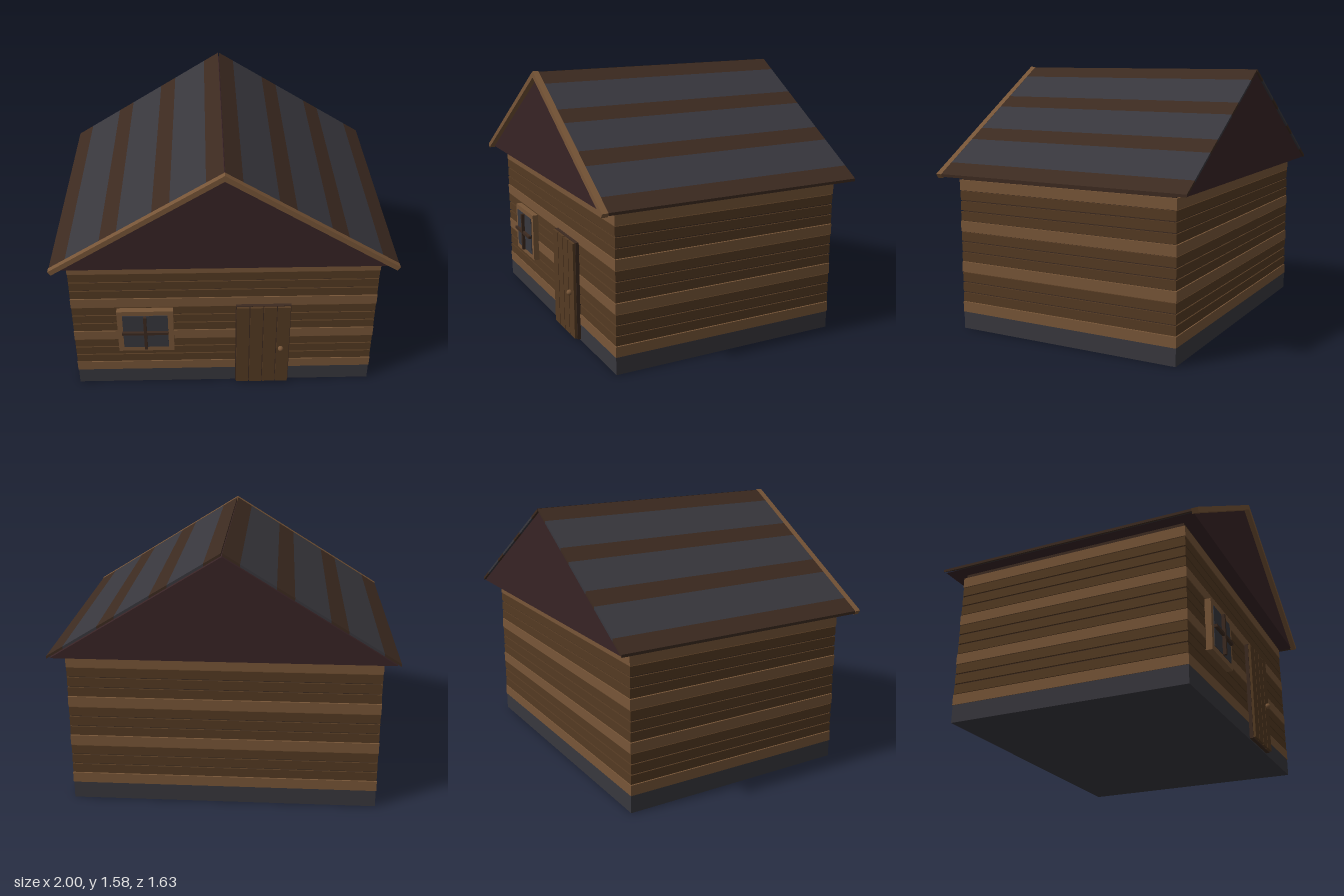
import * as THREE from 'three';

const mat = (name, color) => {
  const m = new THREE.MeshStandardMaterial({ color });
  m.name = name;
  return m;
};

export function createModel() {
  const lightWood = mat('light wood', 0x775537);
  const darkWood = mat('dark wood', 0x543a22);
  const deepBrown = mat('deep brown', 0x3c2a20);
  const slate = mat('slate', 0x38373d);
  const maroon = mat('maroon', 0x382325);

  const house = new THREE.Group();
  house.name = 'cabin';

  const add = (name, geometry, material, parent = house) => {
    const mesh = new THREE.Mesh(geometry, material);
    mesh.name = name;
    parent.add(mesh);
    return mesh;
  };
  // Box given by its lower and upper limits on each axis
  const box = (name, x0, x1, y0, y1, z0, z1, material, parent) => {
    const g = new THREE.BoxGeometry(x1 - x0, y1 - y0, z1 - z0);
    g.translate((x0 + x1) / 2, (y0 + y1) / 2, (z0 + z1) / 2);
    return add(name, g, material, parent);
  };
  // Outline in x and y, extruded from z0 to z1
  const prism = (name, points, z0, z1, material, parent) => {
    const shape = new THREE.Shape(points.map(([x, y]) => new THREE.Vector2(x, y)));
    const g = new THREE.ExtrudeGeometry(shape, { depth: z1 - z0, bevelEnabled: false });
    g.translate(0, 0, z0);
    return add(name, g, material, parent);
  };
  const group = (name) => {
    const g = new THREE.Group();
    g.name = name;
    house.add(g);
    return g;
  };

  // Stone base and the dark wall core that shows in the grooves
  box('foundation', -0.912, 0.912, 0, 0.105, -0.723, 0.709, slate);
  box('wallCore', -0.903, 0.903, 0.1, 0.95, -0.714, 0.7, deepBrown);

  // Thirteen courses of planks, every fourth one light
  const walls = group('walls');
  const course = 0.815 / 13;
  for (let i = 0; i < 13; i++) {
    const y = 0.105 + i * course;
    const light = i % 4 === 0;
    const grow = light ? 0.002 : 0;
    box('plankCourse', -0.913 - grow, 0.913 + grow, y + (light ? 0 : 0.004), y + course - (light ? 0 : 0.004),
      -0.723 - grow, 0.709 + grow, light ? lightWood : darkWood, walls);
  }

  // Attic with gables and soffit
  prism('attic', [[-0.98, 0.945], [0.98, 0.945], [0, 1.55]], -0.812, 0.785, maroon);

  // Roof slopes in alternating bands, and the front trim boards
  const roof = group('roof');
  const slopeY = (x) => 1.575 - 0.617 * x;
  const cuts = [0.004, 0.1, 0.3, 0.4, 0.6, 0.7, 0.9, 0.997];
  for (const s of [-1, 1]) {
    for (let i = 0; i < cuts.length - 1; i++) {
      const a = cuts[i], b = cuts[i + 1];
      prism('roofBand', [
        [s * a, slopeY(a)], [s * b, slopeY(b)],
        [s * b, slopeY(b) - 0.016], [s * a, slopeY(a) - 0.016],
      ], -0.818, 0.78, i % 2 ? slate : deepBrown, roof);
    }
    prism('gableTrim', [
      [0, 1.577], [s, 0.959], [s * 0.984, 0.934], [0, 1.541],
    ], 0.78, 0.817, lightWood, roof);
  }

  // Door: dark backing, four boards and a round knob
  const door = group('door');
  box('doorBacking', 0.07, 0.402, 0.008, 0.616, 0.705, 0.731, deepBrown, door);
  for (let i = 0; i < 4; i++) {
    const x = 0.072 + i * 0.082;
    box('doorBoard', x + 0.003, x + 0.079, 0.014, 0.612, 0.71, 0.746, darkWood, door);
  }
  const knob = add('doorKnob', new THREE.SphereGeometry(0.017, 16, 12), lightWood, door);
  knob.position.set(0.347, 0.295, 0.755);

  // Window: frame with an opening, pane and crossed bars
  const win = group('window');
  box('frameLeft', -0.34, -0.305, 0.29, 0.598, 0.705, 0.746, lightWood, win);
  box('frameRight', -0.643, -0.608, 0.29, 0.598, 0.705, 0.746, lightWood, win);
  box('frameTop', -0.608, -0.34, 0.565, 0.598, 0.705, 0.746, lightWood, win);
  box('frameBottom', -0.608, -0.34, 0.29, 0.325, 0.705, 0.746, lightWood, win);
  box('windowPane', -0.61, -0.338, 0.323, 0.567, 0.705, 0.75, slate, win);
  box('barUpright', -0.484, -0.466, 0.32, 0.567, 0.748, 0.77, deepBrown, win);
  box('barAcross', -0.615, -0.338, 0.432, 0.449, 0.748, 0.768, deepBrown, win);

  return house;
}
